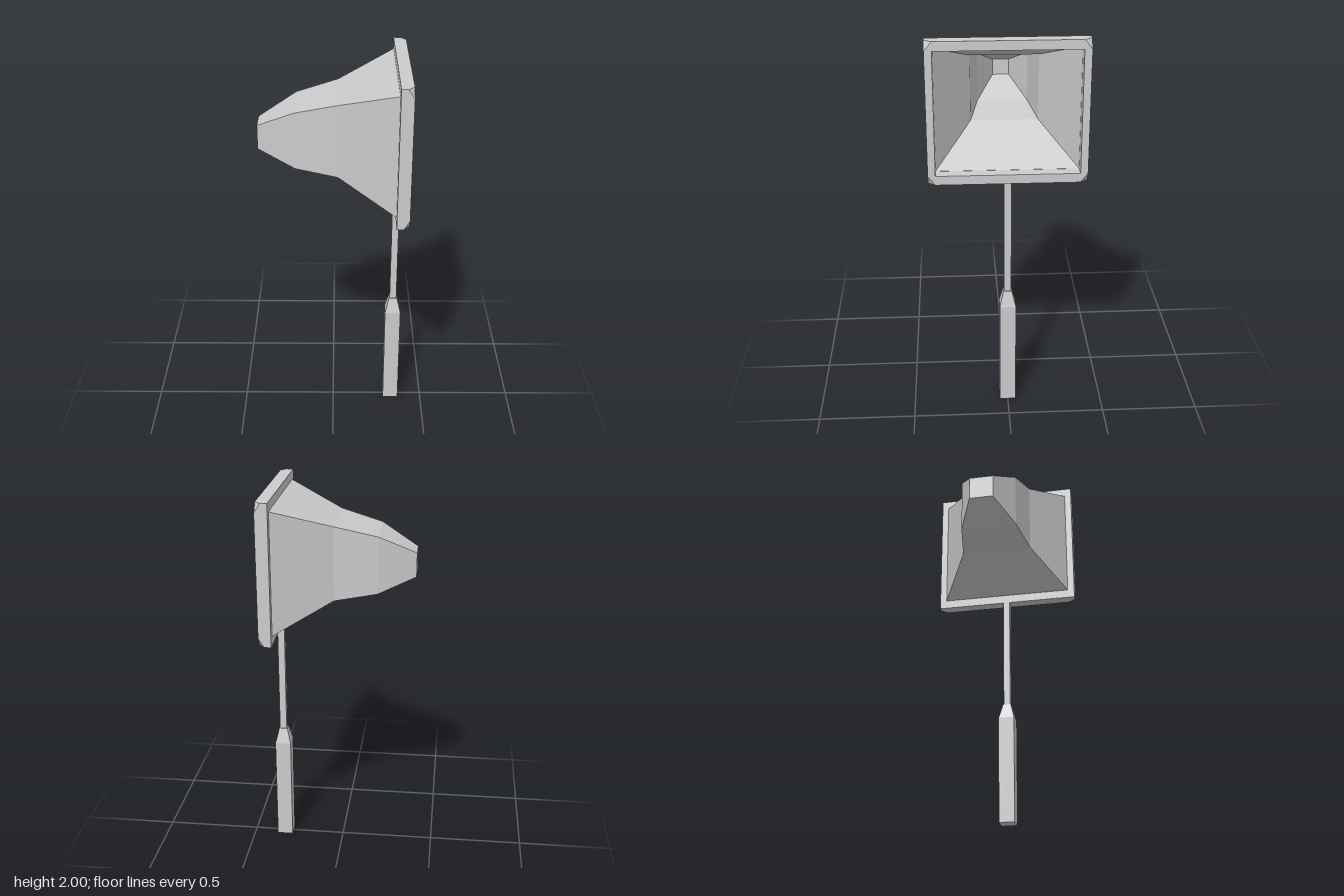
import * as THREE from 'three';
import { ConvexGeometry } from 'three/addons/geometries/ConvexGeometry.js';

const material = new THREE.MeshStandardMaterial({ color: 0xcccccc, flatShading: true });

function add(parent, name, geometry) {
  const mesh = new THREE.Mesh(geometry, material);
  mesh.name = name;
  parent.add(mesh);
  return mesh;
}

// Joins four-cornered rings into a closed, flat-faced skin (rings run counterclockwise about the path)
function loft(rings) {
  const positions = [];
  const quad = (a, b, c, d) => [a, b, c, a, c, d].forEach((p) => positions.push(...p));
  for (let r = 0; r < rings.length - 1; r++) {
    for (let i = 0; i < 4; i++) {
      const j = (i + 1) % 4;
      quad(rings[r][i], rings[r][j], rings[r + 1][j], rings[r + 1][i]);
    }
  }
  quad(...[...rings[0]].reverse());
  quad(...rings[rings.length - 1]);
  const geometry = new THREE.BufferGeometry();
  geometry.setAttribute('position', new THREE.Float32BufferAttribute(positions, 3));
  geometry.computeVertexNormals();
  return geometry;
}

// Upright rectangle across the net
const netRing = ([x, y0, y1, h]) => [[x, y0, -h], [x, y1, -h], [x, y1, h], [x, y0, h]];

// Level square across the handle
const HANDLE_X = 0.328;
const handleRing = ([y, h]) =>
  [[1, 1], [1, -1], [-1, -1], [-1, 1]].map(([sx, sz]) => [HANDLE_X + sx * h, y, sz * h]);

export function createModel() {
  const group = new THREE.Group();

  // Net: outer skin from tip to mouth, then inner skin back to the tip
  add(group, 'net', loft([
    [-0.38, 1.565, 1.69, 0.063],
    [-0.19, 1.495, 1.79, 0.15],
    [0.025, 1.465, 1.845, 0.19],
    [0.315, 1.325, 1.953, 0.357],
    [0.315, 1.328, 1.95, 0.354],
    [0.025, 1.483, 1.827, 0.173],
    [-0.19, 1.513, 1.772, 0.132],
    [-0.365, 1.6, 1.685, 0.043],
  ].map(netRing)));

  // Square frame around the mouth
  const frame = new THREE.Group();
  frame.name = 'frame';
  group.add(frame);
  const xBack = 0.312, xFront = 0.376, depth = xFront - xBack, xMid = (xBack + xFront) / 2;
  const yMid = 1.64, outerY = 0.36, innerY = 0.313, outerZ = 0.392, innerZ = 0.355;
  const barY = outerY - innerY, barZ = outerZ - innerZ;
  for (const s of [1, -1]) {
    add(frame, s > 0 ? 'topBar' : 'bottomBar', new THREE.BoxGeometry(depth, barY, innerZ * 2))
      .position.set(xMid, yMid + s * (innerY + barY / 2), 0);
    add(frame, s > 0 ? 'leftBar' : 'rightBar', new THREE.BoxGeometry(depth, innerY * 2, barZ))
      .position.set(xMid, yMid, -s * (innerZ + barZ / 2));

    // Corner blocks with the front outer tip cut off
    for (const t of [1, -1]) {
      const points = [];
      for (const y of [innerY, outerY]) {
        for (const z of [innerZ, outerZ]) {
          const front = y === outerY && z === outerZ ? 0.347 : xFront;
          for (const x of [xBack, front]) points.push(new THREE.Vector3(x, yMid + s * y, t * z));
        }
      }
      add(frame, 'frameCorner', new ConvexGeometry(points));
    }
  }

  // Pole and the thicker grip with its tapered collar
  add(group, 'pole', loft([[0.64, 0.018], [1.285, 0.018]].map(handleRing)));
  add(group, 'grip', loft([[0, 0.042], [0.575, 0.042], [0.657, 0.022]].map(handleRing)));

  return group;
}
